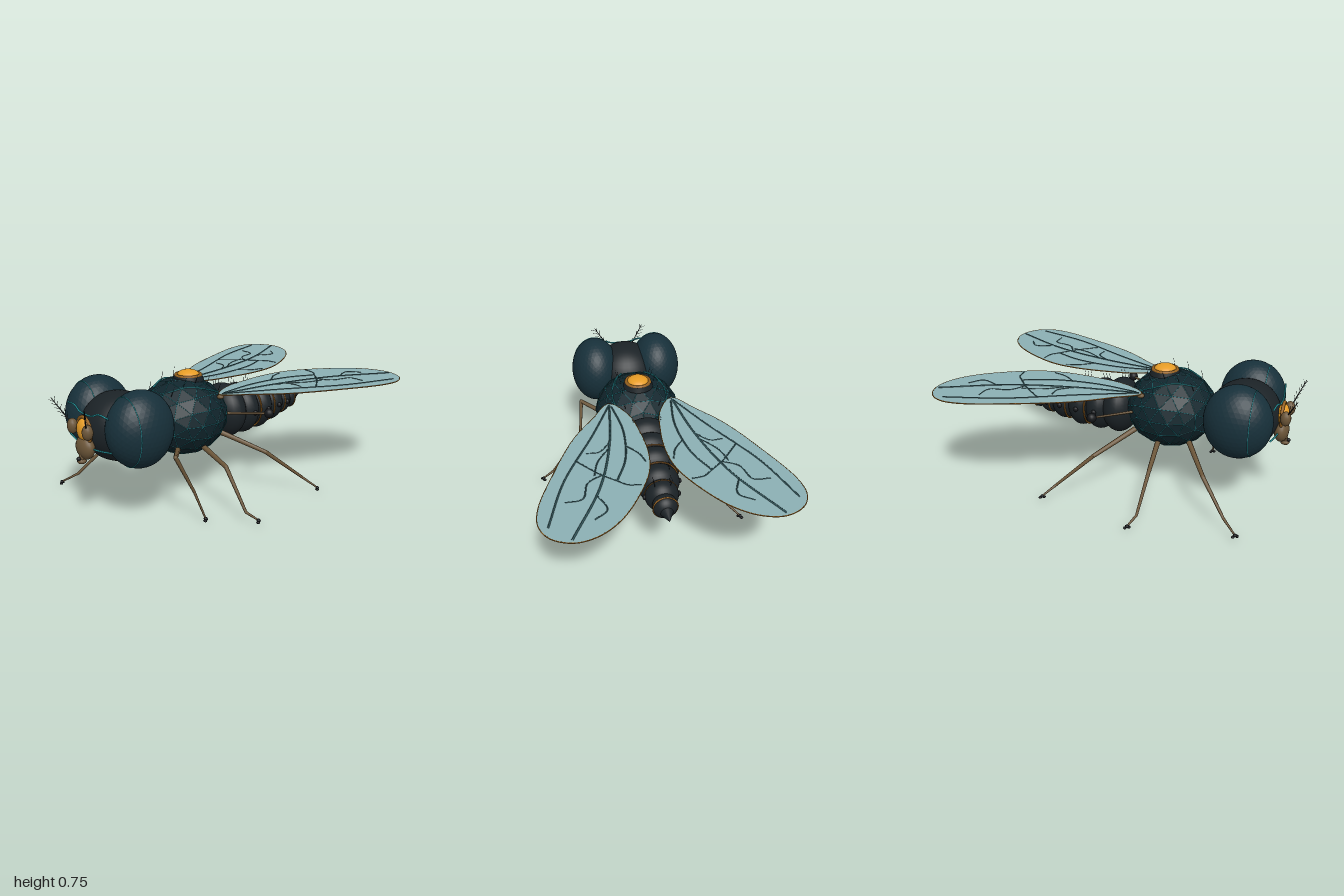
import * as THREE from 'three';

const V = (x, y, z) => new THREE.Vector3(x, y, z);
const mat = (color, extra = {}) => new THREE.MeshStandardMaterial({ color, ...extra });
const shell = mat(0x1b2226);
const thoraxMat = mat(0x11252c, { flatShading: true });
const eyeMat = mat(0x17303a, { flatShading: true });
const teal = mat(0x2aa5ae);
const mesh = mat(0x1d7f88);
const brown = mat(0x6b5538);
const gold = mat(0xe69c26);
const band = mat(0x94601f);
const black = mat(0x15171a);
const wingMat = mat(0x8cb0b4, { side: THREE.DoubleSide });
const veinMat = mat(0x34595e);

const THORAX = { c: V(0, 0.483, 0.255), r: V(0.257, 0.225, 0.262) };

function add(parent, name, geometry, material, pos = [0, 0, 0], scale = [1, 1, 1]) {
  const m = new THREE.Mesh(geometry, material);
  m.name = name;
  m.position.set(...pos);
  m.scale.set(...scale);
  parent.add(m);
  return m;
}

const ball = (parent, name, material, pos, scale, seg = 24) =>
  add(parent, name, new THREE.SphereGeometry(1, seg, Math.ceil(seg * 0.7)), material, pos, scale);

// Tapered rod between two points
function rod(parent, name, a, b, r1, r2, material, sides = 6) {
  const d = b.clone().sub(a);
  const m = add(parent, name, new THREE.CylinderGeometry(r2, r1, d.length(), sides), material);
  m.position.copy(a).addScaledVector(d, 0.5);
  m.quaternion.setFromUnitVectors(V(0, 1, 0), d.normalize());
  return m;
}

function tube(parent, name, points, r, material, closed = false) {
  const curve = new THREE.CatmullRomCurve3(points, closed);
  return add(parent, name, new THREE.TubeGeometry(curve, points.length * 6, r, 5, closed), material);
}

// Point on top of the thorax above (x, z)
function onThorax(x, z, lift = 0.004) {
  const { c, r } = THORAX;
  const k = 1 - (x / r.x) ** 2 - ((z - c.z) / r.z) ** 2;
  return V(x, c.y + r.y * Math.sqrt(Math.max(k, 0)) + lift, z);
}

function makeHead() {
  const g = new THREE.Group();
  g.name = 'head';
  ball(g, 'headCore', shell, [0, 0.515, 0.69], [0.21, 0.19, 0.2], 32);
  for (const s of [-1, 1]) {
    add(g, 'eye', new THREE.IcosahedronGeometry(1, 7), eyeMat, [s * 0.2, 0.545, 0.69], [0.154, 0.208, 0.19]);
    add(g, 'eyeLine', new THREE.TorusGeometry(1, 0.012, 5, 64), teal, [s * 0.2, 0.545, 0.775], [0.139, 0.187, 0.19]);
    // Antenna with feathered bristle
    ball(g, 'antennaBase', brown, [s * 0.075, 0.545, 0.925], [0.03, 0.042, 0.03], 14);
    const a = V(s * 0.08, 0.57, 0.935), b = V(s * 0.165, 0.69, 0.99);
    rod(g, 'antenna', a, b, 0.004, 0.002, black, 5);
    for (let i = 1; i < 6; i++) {
      const p = a.clone().lerp(b, i / 6);
      for (const k of [-1, 1])
        rod(g, 'antennaHair', p, p.clone().add(V(s * (0.018 + k * 0.02), 0.018 - k * 0.012, 0.004 + k * 0.01)), 0.0015, 0.001, black, 3);
    }
  }
  tube(g, 'browLine', [V(-0.2, 0.635, 0.872), V(-0.12, 0.642, 0.882), V(-0.06, 0.622, 0.889), V(0, 0.62, 0.892),
    V(0.06, 0.622, 0.889), V(0.12, 0.642, 0.882), V(0.2, 0.635, 0.872)], 0.005, teal);
  tube(g, 'cheekLine', [V(-0.21, 0.457, 0.868), V(-0.1, 0.445, 0.885), V(0, 0.442, 0.892),
    V(0.1, 0.445, 0.885), V(0.21, 0.457, 0.868)], 0.005, teal);
  // Face lens and mouthparts
  ball(g, 'faceLens', gold, [0, 0.535, 0.9], [0.055, 0.062, 0.035]);
  add(g, 'faceLensRing', new THREE.TorusGeometry(0.066, 0.009, 8, 36), band, [0, 0.535, 0.9], [1, 1.08, 1]);
  ball(g, 'snout', brown, [0, 0.44, 0.9], [0.07, 0.065, 0.042]);
  rod(g, 'proboscis', V(0, 0.43, 0.91), V(0, 0.38, 0.925), 0.024, 0.016, brown, 10);
  ball(g, 'mouthPad', brown, [0, 0.37, 0.925], [0.024, 0.016, 0.026], 12);
  ball(g, 'mouthTip', black, [0, 0.385, 0.943], [0.012, 0.012, 0.012], 10);
  return g;
}

function makeThorax() {
  const g = new THREE.Group();
  g.name = 'thorax';
  const { c, r } = THORAX;
  const geo = new THREE.IcosahedronGeometry(1, 2).scale(r.x, r.y, r.z).translate(c.x, c.y, c.z);
  add(g, 'thoraxShell', geo, thoraxMat);
  // Raised triangular mesh along the facet edges
  const e = new THREE.EdgesGeometry(geo, 0.5).attributes.position;
  for (let i = 0; i < e.count; i += 2)
    rod(g, 'meshStrut', V().fromBufferAttribute(e, i), V().fromBufferAttribute(e, i + 1), 0.0017, 0.0017, mesh, 4);
  for (const s of [-1, 1]) {
    const path = [[0.07, 0.41], [0.12, 0.31], [0.16, 0.2], [0.15, 0.1], [0.08, 0.01]];
    tube(g, 'backLine', path.map(([x, z]) => onThorax(s * x, z)), 0.004, teal);
    for (let i = 0; i < 5; i++) {
      const p = onThorax(s * 0.1, 0.07 + i * 0.085, 0);
      rod(g, 'backBristle', p, p.clone().add(V(s * 0.01, 0.05, -0.015)), 0.002, 0.0007, black, 3);
    }
    // Balancer behind the wing
    rod(g, 'balancerStem', V(s * 0.19, 0.5, 0.08), V(s * 0.33, 0.495, -0.1), 0.008, 0.006, brown);
    ball(g, 'balancerKnob', black, [s * 0.337, 0.495, -0.11], [0.028, 0.028, 0.028], 14);
  }
  // Dorsal jewel
  add(g, 'jewelSeat', new THREE.CylinderGeometry(0.08, 0.09, 0.03, 32), shell, [0, 0.697, 0.21]);
  add(g, 'jewelRing', new THREE.TorusGeometry(0.07, 0.01, 8, 40).rotateX(Math.PI / 2), band, [0, 0.712, 0.21]);
  ball(g, 'jewel', gold, [0, 0.713, 0.21], [0.064, 0.03, 0.064]);
  return g;
}

function makeAbdomen() {
  const g = new THREE.Group();
  g.name = 'abdomen';
  // z, y, radius, half length
  const segs = [[-0.06, 0.448, 0.165, 0.11], [-0.18, 0.438, 0.155, 0.1], [-0.3, 0.436, 0.147, 0.095],
    [-0.42, 0.432, 0.12, 0.09], [-0.52, 0.428, 0.094, 0.08], [-0.605, 0.425, 0.07, 0.06]];
  segs.forEach(([z, y, r, l], i) => {
    ball(g, 'abdomenSegment', shell, [0, y, z], [r, r, l], 28);
    if (i > 1) {
      const rr = [0, 0, 0.135, 0.117, 0.09, 0.067][i];
      const bz = [0, 0, -0.25, -0.385, -0.505, -0.62][i];
      add(g, 'abdomenBand', new THREE.TorusGeometry(rr, 0.005, 6, 40), band, [0, y, bz]);
    }
    for (const s of [-1, 1]) {
      if (i > 0 && i < 5) ball(g, 'breathingPore', black, [s * r * 0.99, y, z], [0.014, 0.016, 0.016], 10);
      if (i < 5) for (let k = -1; k < 2; k++) {
        const p = V(s * r * 0.45, y + r * 0.85, z + k * 0.02);
        rod(g, 'abdomenBristle', p, p.clone().add(V(s * 0.008, 0.05, -0.012)), 0.0018, 0.0006, black, 3);
      }
    }
  });
  add(g, 'tailTip', new THREE.ConeGeometry(0.052, 0.11, 20).rotateX(-Math.PI / 2), shell, [0, 0.422, -0.675]);
  return g;
}

function makeWing(s) {
  const g = new THREE.Group();
  g.name = s > 0 ? 'leftWing' : 'rightWing';
  const y = 0.62;
  const outline = [[0.19, 0.135], [0.095, 0], [0.06, -0.18], [0.048, -0.37], [0.07, -0.53], [0.14, -0.69], [0.27, -0.88],
    [0.39, -0.972], [0.51, -0.998], [0.62, -0.95], [0.669, -0.86], [0.664, -0.74], [0.57, -0.48], [0.43, -0.18], [0.3, 0]];
  const curve = new THREE.CatmullRomCurve3(outline.map(([x, z]) => V(s * x, 0, z)), true);
  const pts = curve.getPoints(90);
  const shape = new THREE.Shape(pts.map(p => new THREE.Vector2(p.x, -p.z)));
  const geo = new THREE.ExtrudeGeometry(shape, { depth: 0.005, bevelEnabled: false }).rotateX(-Math.PI / 2);
  add(g, 'membrane', geo, wingMat, [0, y - 0.003, 0]);
  add(g, 'wingEdge', new THREE.TubeGeometry(curve, 120, 0.0033, 5, true), band, [0, y, 0]);
  // Long veins fan out from the root, short ones cross between them
  const veins = [
    [0.005, [0.19, 0.12], [0.33, -0.18], [0.52, -0.55], [0.625, -0.88]],
    [0.006, [0.19, 0.12], [0.24, -0.25], [0.34, -0.62], [0.52, -0.98]],
    [0.005, [0.18, 0.1], [0.15, -0.15], [0.18, -0.42], [0.25, -0.59]],
    [0.004, [0.25, -0.59], [0.2, -0.63], [0.13, -0.64]],
    [0.004, [0.25, -0.3], [0.33, -0.42], [0.36, -0.53]],
    [0.004, [0.3, -0.52], [0.4, -0.58], [0.44, -0.7], [0.53, -0.71]],
    [0.004, [0.37, -0.68], [0.33, -0.8], [0.4, -0.86]],
    [0.004, [0.24, -0.25], [0.31, -0.33], [0.38, -0.33]],
    [0.004, [0.16, -0.3], [0.1, -0.38], [0.075, -0.46]],
    [0.004, [0.25, -0.59], [0.33, -0.52], [0.44, -0.39]],
  ];
  for (const [r, ...p] of veins)
    tube(g, 'vein', p.map(([x, z]) => V(s * x, y + 0.001, z)), r, veinMat);
  ball(g, 'wingRoot', brown, [s * 0.19, y - 0.012, 0.13], [0.02, 0.014, 0.022], 10);
  return g;
}

// Each leg: hip, knee, ankle, foot
const LEGS = {
  frontLeftLeg: [[0.15, 0.345, 0.41], [0.32, 0.388, 0.555], [0.35, 0.17, 0.455], [0.4, 0.022, 0.42]],
  frontRightLeg: [[-0.15, 0.345, 0.41], [-0.36, 0.265, 0.55], [-0.46, 0.09, 0.7], [-0.52, 0.04, 0.78]],
  middleLeftLeg: [[0.15, 0.345, 0.25], [0.39, 0.28, 0.265], [0.55, 0.065, 0.262], [0.62, 0.035, 0.235]],
  middleRightLeg: [[-0.15, 0.345, 0.23], [-0.38, 0.25, 0.25], [-0.555, 0.06, 0.24], [-0.62, 0.025, 0.21]],
  hindLeftLeg: [[0.14, 0.37, 0.08], [0.34, 0.262, -0.09], [0.46, 0.085, -0.285], [0.525, 0.025, -0.345]],
  hindRightLeg: [[-0.14, 0.37, 0.08], [-0.35, 0.26, -0.1], [-0.46, 0.09, -0.29], [-0.525, 0.04, -0.35]],
};

function makeLeg(name, joints) {
  const g = new THREE.Group();
  g.name = name;
  const p = joints.map(j => V(...j));
  const radii = [0.016, 0.012, 0.008, 0.005];
  for (let i = 0; i < 3; i++) {
    rod(g, ['thigh', 'shin', 'ankle'][i], p[i], p[i + 1], radii[i], radii[i + 1], brown, 8);
    if (i) ball(g, 'joint', brown, p[i].toArray(), [1, 1, 1].map(() => radii[i] * 1.05), 8);
  }
  const f = p[3];
  for (const k of [-1, 1])
    ball(g, 'claw', black, [f.x + k * 0.007, f.y - 0.008, f.z + k * 0.009], [0.012, 0.007, 0.01], 8);
  ball(g, 'footPad', black, [f.x, f.y, f.z], [0.011, 0.009, 0.011], 8);
  return g;
}

export function createModel() {
  const model = new THREE.Group();
  model.name = 'fly';
  model.add(makeHead(), makeThorax(), makeAbdomen(), makeWing(1), makeWing(-1));
  for (const [name, joints] of Object.entries(LEGS)) model.add(makeLeg(name, joints));
  return model;
}
